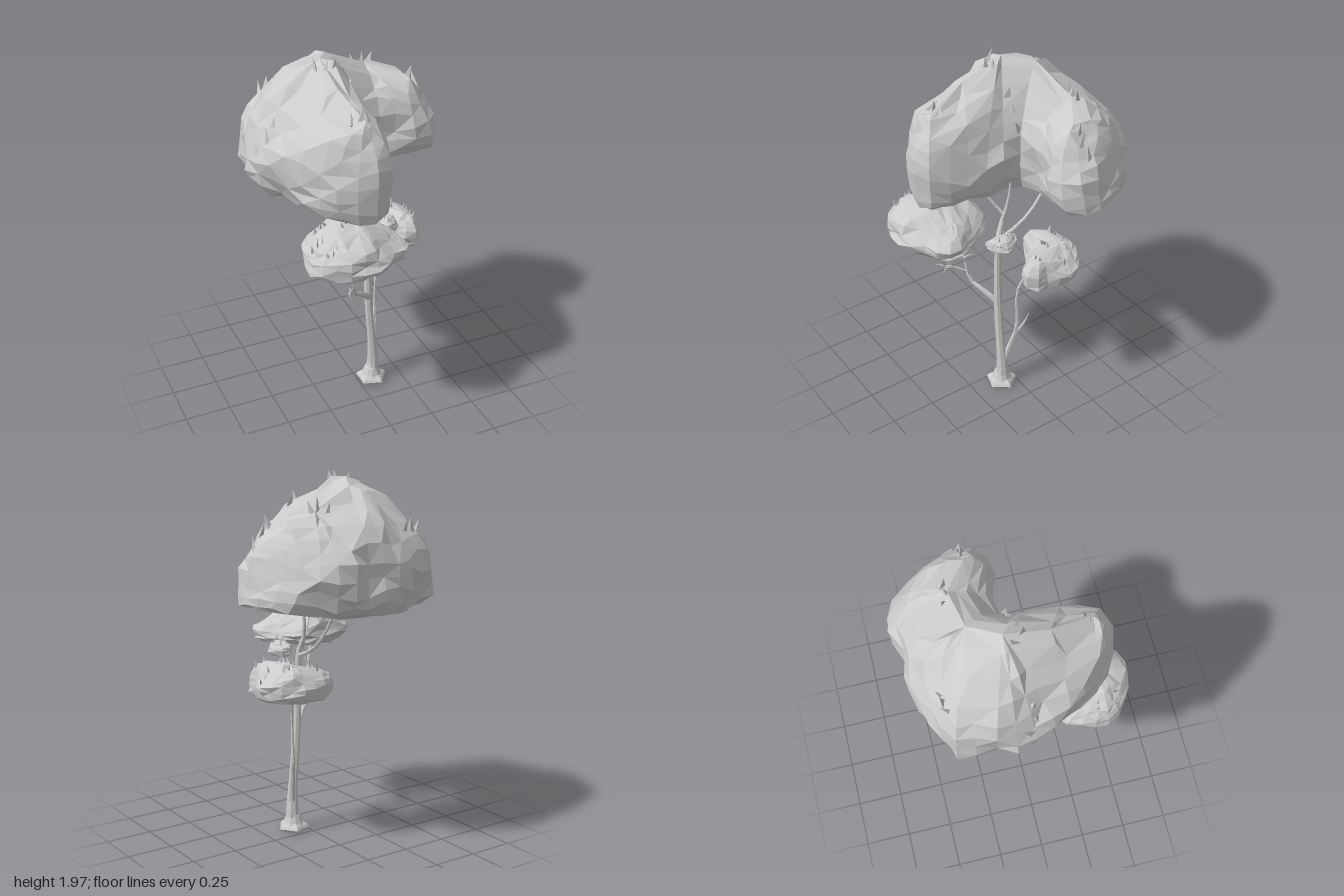
import * as THREE from 'three';

const material = new THREE.MeshStandardMaterial({ color: 0xcccccc, flatShading: true, side: THREE.DoubleSide });

function seeded(seed) {
  return () => {
    seed = (seed * 16807) % 2147483647;
    return seed / 2147483647 - 0.5;
  };
}

function addMesh(parent, geometry, name) {
  const mesh = new THREE.Mesh(geometry, material);
  mesh.name = name;
  parent.add(mesh);
  return mesh;
}

// Joins closed rings of points, listed from bottom to top, into one skin
function skin(rings) {
  const n = rings[0].length;
  const index = [];
  for (let j = 0; j < rings.length - 1; j++) {
    for (let i = 0; i < n; i++) {
      const a = j * n + i, b = j * n + (i + 1) % n;
      const c = a + n, d = b + n;
      if ((i + j) % 2) index.push(a, c, b, b, c, d);
      else index.push(a, c, d, a, d, b);
    }
  }
  const geometry = new THREE.BufferGeometry();
  geometry.setAttribute('position', new THREE.Float32BufferAttribute(rings.flat(2), 3));
  geometry.setIndex(index);
  geometry.computeVertexNormals();
  return geometry;
}

// Tapering bent limb; each point is [x, y, z, radius]
function limb(parent, name, points, sides = 6) {
  const curve = new THREE.CatmullRomCurve3(points.map(p => new THREE.Vector3(p[0], p[1], p[2])));
  const steps = (points.length - 1) * 2;
  const geometry = new THREE.TubeGeometry(curve, steps, 1, sides);
  const pos = geometry.attributes.position;
  const v = new THREE.Vector3();
  for (let k = 0; k < pos.count; k++) {
    const u = Math.floor(k / (sides + 1)) / steps;
    const t = curve.getUtoTmapping(u) * (points.length - 1);
    const i = Math.min(Math.floor(t), points.length - 2);
    const r = THREE.MathUtils.lerp(points[i][3], points[i + 1][3], t - i);
    const centre = curve.getPointAt(u);
    v.fromBufferAttribute(pos, k).sub(centre).multiplyScalar(r).add(centre);
    pos.setXYZ(k, v.x, v.y, v.z);
  }
  geometry.computeVertexNormals();
  return addMesh(parent, geometry, name);
}

// Lumpy canopy: a plan outline drawn in towards a ridge line, [scale, height share] per level.
// Each outline point is [x, z, number of the ridge point it folds onto].
const LEVELS = [[0, 0], [0.35, 0], [0.64, 0.01], [0.82, 0.05], [0.93, 0.14], [0.985, 0.27], [1, 0.42],
  [0.95, 0.58], [0.85, 0.71], [0.68, 0.83], [0.46, 0.92], [0.22, 0.98], [0, 1]];

function canopy(parent, name, { outline, ridge, base, top, n, bump, seed, lean = () => 0 }) {
  const rand = seeded(seed);
  const curve = new THREE.CatmullRomCurve3(outline.map(p => new THREE.Vector3(p[0], p[2] * 0.01, p[1])), true);
  const plan = curve.getSpacedPoints(n).slice(0, n);
  const roots = plan.map(p => ridge[THREE.MathUtils.clamp(Math.round(p.y * 100), 0, ridge.length - 1)]);
  const rings = LEVELS.map(([scale, share]) => plan.map((p, i) => {
    const rough = scale ? bump : 0;
    const lump = 0.35 * Math.sin(i * 1.1 + share * 9) - 0.15;
    const s = scale * (1 + rough * (rand() * 0.9 + lump));
    const x = THREE.MathUtils.lerp(roots[i][0], p.x, s);
    const z = THREE.MathUtils.lerp(roots[i][1], p.z, s);
    const h = top(x, z) - base(x);
    const wobble = share > 0.02 ? (rand() + lump) * rough * h * 0.6 : 0;
    return [x + lean(x) * (share - 0.25), base(x) + h * share + wobble, z];
  }));
  return addMesh(parent, skin(rings), name);
}

// Small cluster of pointed leaves rooted on top of a canopy
function tuft(parent, surface, [x, z], size, seed) {
  const rand = seeded(seed * 7919 + 17);
  const group = new THREE.Group();
  group.name = 'leafTuft';
  for (let i = 0; i < 3; i++) {
    const px = x + (i - 1) * size * 0.55, pz = z + rand() * size * 0.9;
    const ray = new THREE.Raycaster(new THREE.Vector3(px, 3, pz), new THREE.Vector3(0, -1, 0));
    const hit = ray.intersectObject(surface)[0];
    if (!hit) continue;
    const h = size * (1 + 0.5 * rand());
    const leaf = addMesh(group, new THREE.ConeGeometry(size * 0.32, h, 3), 'leaf');
    leaf.geometry.translate(0, h * 0.35, 0);
    leaf.scale.z = 0.5;
    leaf.position.copy(hit.point);
    leaf.rotation.set(rand() * 0.7, rand() * 5, rand() * 0.8);
  }
  parent.add(group);
}

export function createModel() {
  const tree = new THREE.Group();
  tree.name = 'tree';

  // Root flare with five lobes
  const flare = [[0, 0.01], [0.065, 0.01], [0.09, 0.028], [0.08, 0.042], [0.052, 0.06], [0.038, 0.1], [0, 0.13]];
  const flareRings = flare.map(([r, y]) => Array.from({ length: 10 }, (_, i) => {
    const a = i / 10 * Math.PI * 2;
    const k = i % 2 && y < 0.06 ? 0.78 : 1;
    return [0.078 + Math.cos(a) * r * k, y, 0.08 + Math.sin(a) * r * k];
  }));
  addMesh(tree, skin(flareRings), 'rootFlare');

  // Trunk and branches
  limb(tree, 'trunk', [[0.08, 0.05, 0.08, 0.044], [0.085, 0.14, 0.08, 0.033], [0.075, 0.28, 0.085, 0.025],
    [0.05, 0.58, 0.085, 0.022], [0.045, 0.85, 0.082, 0.019], [0.042, 1.02, 0.072, 0.016],
    [0.03, 1.12, 0.035, 0.011], [0.05, 1.22, 0.015, 0.009], [0.06, 1.34, 0.01, 0.006]], 8);
  limb(tree, 'backTopBranch', [[0.045, 1.0, 0.06, 0.011], [0.05, 1.05, -0.06, 0.009],
    [0.05, 1.16, -0.18, 0.008], [0.04, 1.33, -0.27, 0.005]]);
  limb(tree, 'sideTopBranch', [[0.03, 1.13, 0.03, 0.008], [-0.02, 1.2, 0.07, 0.007], [-0.07, 1.32, 0.15, 0.004]]);
  limb(tree, 'frontBranch', [[0.05, 0.58, 0.085, 0.02], [0.0, 0.64, 0.13, 0.014], [-0.075, 0.7, 0.18, 0.011],
    [-0.1, 0.84, 0.2, 0.009], [-0.14, 0.96, 0.24, 0.007], [-0.2, 1.06, 0.28, 0.005]]);
  limb(tree, 'frontBranchFork', [[-0.11, 0.9, 0.215, 0.007], [-0.09, 0.98, 0.22, 0.006], [-0.06, 1.06, 0.2, 0.004]]);
  limb(tree, 'sideBranch', [[0.085, 0.15, 0.08, 0.022], [0.1, 0.25, 0.055, 0.015], [0.125, 0.42, 0.01, 0.01],
    [0.13, 0.68, 0.01, 0.008], [0.16, 0.8, -0.04, 0.007], [0.2, 0.88, -0.12, 0.005]]);
  limb(tree, 'sideTwig', [[0.122, 0.38, 0.015, 0.009], [0.14, 0.43, -0.02, 0.007], [0.155, 0.51, -0.05, 0.002]]);
  limb(tree, 'budBranch', [[0.045, 0.93, 0.082, 0.01], [0.09, 0.97, 0.095, 0.007], [0.14, 1.03, 0.11, 0.004]]);

  // Bare twigs on the front branch
  const twigs = [
    [[-0.09, 0.75, 0.19], [-0.13, 0.79, 0.26], [-0.18, 0.8, 0.33]],
    [[-0.13, 0.79, 0.26], [-0.14, 0.83, 0.28], [-0.15, 0.87, 0.28]],
    [[-0.13, 0.79, 0.26], [-0.15, 0.78, 0.29], [-0.15, 0.75, 0.3]],
    [[-0.1, 0.82, 0.2], [-0.075, 0.87, 0.23], [-0.07, 0.93, 0.25]],
    [[-0.075, 0.86, 0.225], [-0.05, 0.89, 0.21], [-0.02, 0.91, 0.2]]
  ];
  for (const path of twigs) limb(tree, 'twig', path.map((p, i) => [...p, 0.007 - i * 0.0026]), 4);

  // Main canopy: a bent cushion with a tall lobe to the front and a lower one to the side
  const main = canopy(tree, 'mainCanopy', {
    outline: [[-0.52, -0.3, 2.5], [-0.5, -0.41, 2.6], [-0.3, -0.49, 2.8], [-0.11, -0.57, 3], [0.03, -0.56, 3.4],
      [0.17, -0.59, 3.9], [0.3, -0.54, 4.3], [0.42, -0.45, 4.8], [0.51, -0.27, 5], [0.54, -0.14, 5],
      [0.47, -0.02, 5], [0.39, 0, 4.8], [0.22, -0.04, 4], [0.1, -0.05, 3], [0.09, 0.1, 2], [0.07, 0.3, 1],
      [0, 0.46, 0], [-0.08, 0.49, 0], [-0.21, 0.46, 0], [-0.34, 0.36, 0.3], [-0.43, 0.22, 1],
      [-0.49, 0.07, 1.6], [-0.54, -0.06, 2.1]],
    ridge: [[-0.1, 0.37], [-0.15, 0.15], [-0.15, -0.08], [-0.06, -0.23], [0.18, -0.27], [0.43, -0.2]],
    base: x => 1.275 + 0.17 * Math.max(0, x - 0.1),
    top: (x, z) => 1.755 + 0.195 * Math.exp(-11 * (x + 0.14) ** 2 - 8 * (z + 0.1) ** 2),
    lean: x => -0.12 * THREE.MathUtils.smoothstep(x, 0.2, 0.5),
    n: 36, bump: 0.11, seed: 11
  });

  // Smaller canopies
  const front = canopy(tree, 'frontCanopy', {
    outline: [[-0.42, 0.42, 0], [-0.4, 0.27, 0], [-0.35, 0.17, 0.3], [-0.2, 0.12, 0.8], [-0.07, 0.1, 1],
      [0.04, 0.17, 1.6], [0.08, 0.28, 2], [0.12, 0.36, 2], [0.1, 0.46, 2], [0, 0.5, 1.7], [-0.09, 0.57, 1],
      [-0.16, 0.59, 0.7], [-0.31, 0.54, 0]],
    ridge: [[-0.27, 0.41], [-0.15, 0.31], [0, 0.33]],
    base: x => 1.015 + 0.15 * Math.max(0, x),
    top: x => 1.08 + 0.17 * Math.exp(-14 * (x + 0.19) ** 2),
    n: 22, bump: 0.13, seed: 23
  });
  const side = canopy(tree, 'sideCanopy', {
    outline: [[-0.02, -0.15, 0], [0.08, -0.26, 0], [0.2, -0.29, 0.7], [0.33, -0.25, 1], [0.42, -0.13, 1.2],
      [0.37, 0, 2], [0.37, 0.07, 2], [0.3, 0.1, 2], [0.22, 0.04, 1.8], [0.15, -0.03, 1], [0.05, -0.08, 0]],
    ridge: [[0.09, -0.17], [0.24, -0.15], [0.31, 0]],
    base: x => 0.825 + 0.25 * Math.max(0, 0.12 - x),
    top: x => 0.95 + 0.065 * Math.exp(-30 * (x - 0.26) ** 2),
    n: 20, bump: 0.13, seed: 37
  });
  const bud = canopy(tree, 'budCanopy', {
    outline: [[0.08, 0.1, 0], [0.1, 0.05, 0], [0.14, 0.02, 0], [0.18, 0.06, 0], [0.205, 0.11, 0],
      [0.17, 0.17, 0], [0.09, 0.19, 0]],
    ridge: [[0.14, 0.1]],
    base: () => 1.005, top: () => 1.085,
    n: 10, bump: 0.15, seed: 41
  });

  // Leaf tufts at plan positions on each canopy
  const tufts = [
    [main, 0.075, [[-0.15, 0], [-0.47, 0], [0.17, -0.28], [0.42, -0.15], [-0.12, 0.35], [0.03, -0.01], [-0.32, -0.39]]],
    [front, 0.045, [[-0.2, 0.36], [-0.32, 0.46], [-0.12, 0.25], [-0.3, 0.25], [-0.36, 0.36]]],
    [side, 0.045, [[0.28, -0.18], [0.24, -0.08], [0.32, 0.02], [0.14, -0.2], [0.37, -0.1]]],
    [bud, 0.035, [[0.14, 0.08], [0.15, 0.14]]]
  ];
  tufts.forEach(([surface, size, spots], k) =>
    spots.forEach((spot, i) => tuft(tree, surface, spot, size, k * 10 + i + 1)));

  return tree;
}
